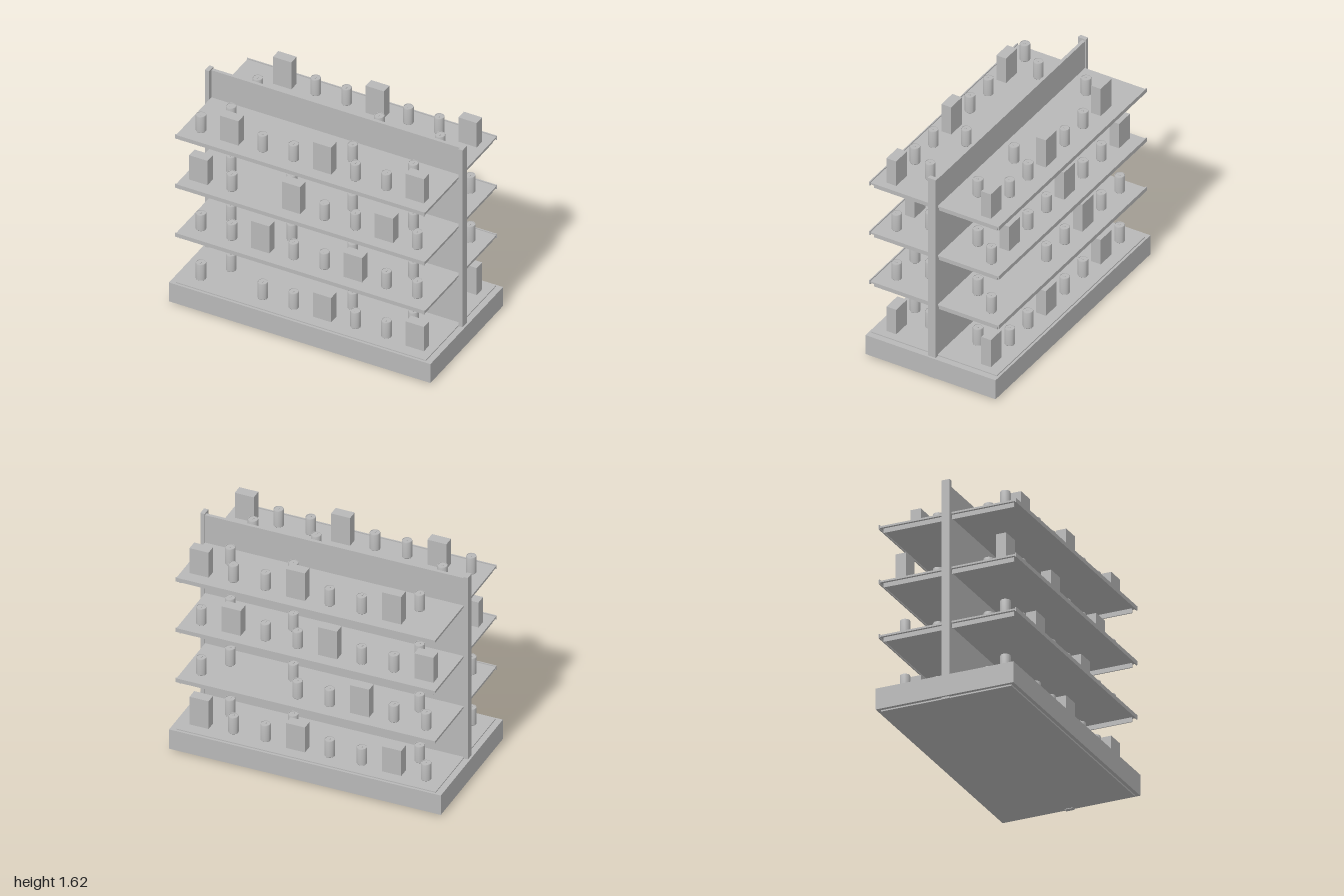
import * as THREE from 'three';
import { toCreasedNormals } from 'three/addons/utils/BufferGeometryUtils.js';

const grey = new THREE.MeshStandardMaterial({ color: 0xb8b8b8 });
grey.name = 'light grey';

// Box given by its min and max corners
function block(parent, name, x0, x1, y0, y1, z0, z1) {
  const mesh = new THREE.Mesh(new THREE.BoxGeometry(x1 - x0, y1 - y0, Math.abs(z1 - z0)), grey);
  mesh.position.set((x0 + x1) / 2, (y0 + y1) / 2, (z0 + z1) / 2);
  mesh.name = name;
  parent.add(mesh);
  return mesh;
}

// Tin can with a rolled rim and sunken lid
const canProfile = [
  [0, 0], [0.033, 0], [0.036, 0.004], [0.036, 0.126], [0.034, 0.132],
  [0.031, 0.132], [0.031, 0.128], [0, 0.128],
].map(([x, y]) => new THREE.Vector2(x, y));
const canGeometry = toCreasedNormals(new THREE.LatheGeometry(canProfile, 24), 0.6);

function addCan(parent, x, y, z) {
  const can = new THREE.Group();
  can.name = 'can';
  const body = new THREE.Mesh(canGeometry, grey);
  body.name = 'canBody';
  can.add(body);
  block(can, 'pullTab', -0.004, 0.004, 0.128, 0.131, -0.004, 0.014);
  can.position.set(x, y, z);
  parent.add(can);
}

// Display slots: eight along the outer row, four along the inner row
const outerX = (i) => -0.83 + i * 0.2364;
const innerX = (i) => -0.7 + i * 0.465;
const OUTER_Z = 0.373, INNER_Z = 0.188;
const levels = [0.178, 0.585, 0.988, 1.393];

// Outer row per level: c = can, b = box, B = tall box, . = empty; inner row likewise
const stock = {
  front: [
    ['c.ccbccb'.replace('b', 'b'), 'c.cc'],
    ['ccBccbcc', 'cccc'],
    ['bc.BccbC'.replace('C', 'c'), 'cccc'],
    ['cbccBccb', 'c.cc'],
  ],
  back: [
    ['cbccbccB', 'c.cc'],
    ['ccBcc..c', 'c.cc'],
    ['bccBccbc', 'c.cc'],
    ['.BccBccb', 'c.cc'],
  ],
};
const boxHeight = { b: 0.2, B: 0.222 };

function fillShelf(parent, [outer, inner], y, side) {
  [...outer].forEach((kind, i) => {
    const x = outerX(i), z = side * OUTER_Z;
    if (kind === 'c') addCan(parent, x, y, z);
    else if (kind !== '.') block(parent, 'carton', x - 0.07, x + 0.07, y, y + boxHeight[kind], z - 0.038, z + 0.038);
  });
  [...inner].forEach((kind, i) => {
    if (kind === 'c') addCan(parent, innerX(i), y, side * INNER_Z);
  });
}

// One cantilever shelf: plate, raised front lip and two side brackets
function addShelf(parent, y, side) {
  const shelf = new THREE.Group();
  shelf.name = side > 0 ? 'frontShelf' : 'backShelf';
  const part = (name, x0, x1, y0, y1, z0, z1) =>
    block(shelf, name, x0, x1, y0, y1, side > 0 ? z0 : -z1, side > 0 ? z1 : -z0);
  part('shelfPlate', -0.952, 0.952, y - 0.013, y, 0.002, 0.503);
  part('shelfLip', -0.955, 0.955, y - 0.023, y + 0.008, 0.503, 0.511);
  for (const s of [-1, 1]) part('bracket', s * 0.93 - 0.004, s * 0.93 + 0.004, y - 0.046, y - 0.013, 0.025, 0.485);
  parent.add(shelf);
}

export function createModel() {
  const model = new THREE.Group();
  model.name = 'storeShelving';

  // Plinth with an inset foot and two deck plates
  block(model, 'plinth', -1, 1, 0.015, 0.17, -0.512, 0.512);
  block(model, 'foot', -0.975, 0.975, 0.004, 0.015, -0.485, 0.485);
  for (const s of [-1, 1]) {
    block(model, 'baseDeck', -0.955, 0.955, 0.168, 0.178, s > 0 ? 0.002 : -0.495, s > 0 ? 0.495 : -0.002);
  }

  // Uprights and central divider panel
  for (const s of [-1, 1]) {
    block(model, 'upright', s * 0.969 - 0.016, s * 0.969 + 0.016, 0, 1.625, -0.031, 0.031);
  }
  block(model, 'dividerPanel', -0.955, 0.955, 0.17, 1.613, -0.026, -0.002);

  // Shelves and goods on both sides
  for (const [side, rows] of [[1, stock.front], [-1, stock.back]]) {
    levels.forEach((y, i) => {
      if (i > 0) addShelf(model, y, side);
      fillShelf(model, rows[i], y, side);
    });
  }
  return model;
}
